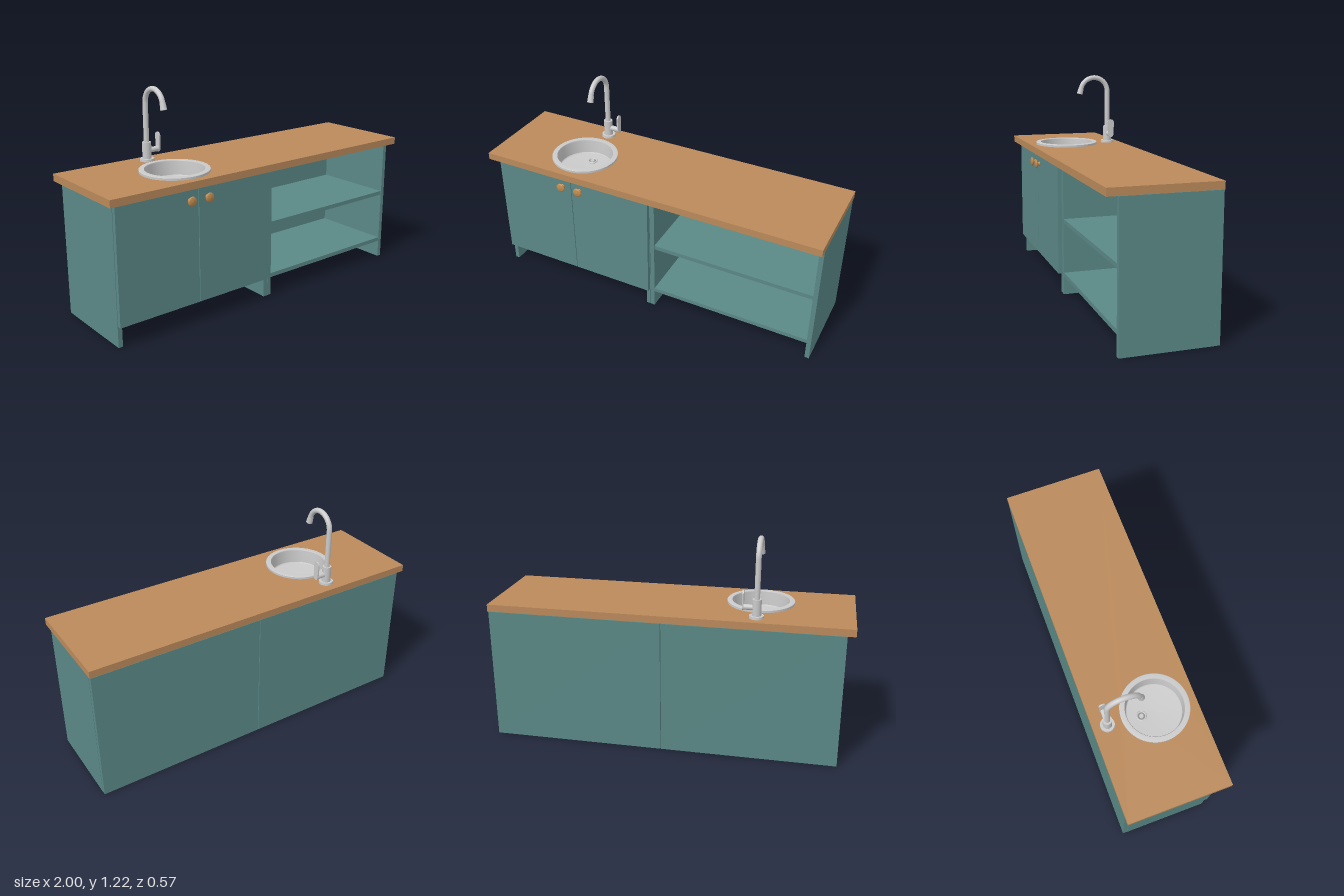
import * as THREE from 'three';

export function createModel() {
  const model = new THREE.Group();
  model.name = 'kitchenCounter';

  const material = (name, color, side = THREE.FrontSide) => {
    const m = new THREE.MeshStandardMaterial({ color, side });
    m.name = name;
    return m;
  };
  const teal = material('teal paint', 0x5a8886);
  const wood = material('worktop wood', 0xba895a);
  const knobWood = material('knob wood', 0xc08a4e);
  const metal = material('brushed steel', 0xcacaca, THREE.DoubleSide);
  const dark = material('drain shadow', 0x8a8a8a);

  const add = (parent, name, geometry, mat, x = 0, y = 0, z = 0) => {
    const mesh = new THREE.Mesh(geometry, mat);
    mesh.name = name;
    mesh.position.set(x, y, z);
    parent.add(mesh);
    return mesh;
  };
  // Box given by its minimum and maximum on each axis
  const panel = (parent, name, [x0, x1], [y0, y1], [z0, z1], mat = teal) =>
    add(parent, name, new THREE.BoxGeometry(x1 - x0, y1 - y0, z1 - z0), mat,
      (x0 + x1) / 2, (y0 + y1) / 2, (z0 + z1) / 2);
  const lathe = (points, segments = 48) =>
    new THREE.LatheGeometry(points.map(p => new THREE.Vector2(...p)), segments);

  const sinkX = -0.483, sinkZ = 0.06, topY = 0.8;
  const t = 0.025;

  // Two carcasses: sides, back and bottom
  const makeCabinet = (name, x0, x1) => {
    const g = new THREE.Group();
    g.name = name;
    panel(g, 'rightSide', [x0, x0 + t], [0.004, 0.758], [-0.26, 0.225]);
    panel(g, 'leftSide', [x1 - t, x1], [0.004, 0.758], [-0.26, 0.225]);
    panel(g, 'back', [x0 + 0.001, x1 - 0.001], [0.004, 0.758], [-0.286, -0.261]);
    panel(g, 'bottom', [x0 + t, x1 - t], [0.108, 0.132], [-0.26, 0.223]);
    model.add(g);
    return g;
  };
  const closed = makeCabinet('doorCabinet', -0.957, 0.019);
  const open = makeCabinet('shelfCabinet', 0.021, 0.996);
  panel(open, 'shelf', [0.046, 0.971], [0.421, 0.445], [-0.26, 0.223]);

  // Doors with turned knobs
  const knobGeometry = lathe([[0, 0], [0.014, 0], [0.014, 0.003], [0.009, 0.007], [0.009, 0.014],
    [0.022, 0.016], [0.026, 0.02], [0.025, 0.025], [0.018, 0.029], [0, 0.031]], 32);
  knobGeometry.rotateX(Math.PI / 2);
  for (const side of [-1, 1]) {
    const edges = [-0.469 + side * 0.002, -0.469 + side * 0.486].sort((a, b) => a - b);
    panel(closed, 'door', edges, [0.12, 0.755], [0.226, 0.249]);
    add(closed, 'knob', knobGeometry, knobWood, -0.469 + side * 0.055, 0.692, 0.249);
  }

  // Worktop with a round cut-out for the sink
  const outline = new THREE.Shape([[-1, -0.287], [1, -0.287], [1, 0.287], [-1, 0.287]]
    .map(p => new THREE.Vector2(...p)));
  outline.holes.push(new THREE.Path().absarc(sinkX, -sinkZ, 0.165, 0, Math.PI * 2, true));
  const topGeometry = new THREE.ExtrudeGeometry(outline,
    { depth: 0.04, bevelEnabled: false, curveSegments: 48 });
  topGeometry.rotateX(-Math.PI / 2);
  add(model, 'worktop', topGeometry, wood, 0, topY - 0.04, 0);

  // Sink: raised rim, wall, floor and drain
  const sink = new THREE.Group();
  sink.name = 'sink';
  sink.position.set(sinkX, topY, sinkZ);
  model.add(sink);
  const ring = (name, points) => add(sink, name, lathe(points, 64), metal);
  ring('rimEdge', [[0.188, 0], [0.188, 0.012]]);
  ring('rimTop', [[0.188, 0.012], [0.185, 0.015], [0.16, 0.015]]);
  ring('bowlWall', [[0.16, 0.015], [0.157, 0.01], [0.152, -0.065]]);
  ring('bowlFloor', [[0.152, -0.065], [0.147, -0.073], [0, -0.076]]);
  add(sink, 'drainRing', new THREE.TorusGeometry(0.024, 0.005, 10, 32).rotateX(Math.PI / 2),
    metal, 0, -0.073, -0.072);
  add(sink, 'drainWell', new THREE.CylinderGeometry(0.022, 0.022, 0.003, 32), dark, 0, -0.074, -0.072);
  add(sink, 'drainPlug', new THREE.CylinderGeometry(0.012, 0.014, 0.006, 24), metal, 0, -0.071, -0.072);

  // Tap: flange, body, swan neck, nozzle and lever
  const tap = new THREE.Group();
  tap.name = 'tap';
  tap.position.set(sinkX, topY, -0.206);
  model.add(tap);
  add(tap, 'flange', new THREE.CylinderGeometry(0.039, 0.04, 0.014, 40), metal, 0, 0.007, 0);
  add(tap, 'body', new THREE.CylinderGeometry(0.025, 0.025, 0.09, 36), metal, 0, 0.059, 0);

  const R = 0.086, bendY = 0.319, endAngle = 0.274;
  const neck = new THREE.CurvePath();
  neck.add(new THREE.LineCurve3(new THREE.Vector3(0, 0.1, 0), new THREE.Vector3(0, bendY, 0)));
  const arcPoints = [];
  for (let i = 0; i <= 16; i++) {
    const a = Math.PI + (endAngle - Math.PI) * i / 16;
    arcPoints.push(new THREE.Vector3(0, bendY + R * Math.sin(a), R + R * Math.cos(a)));
  }
  neck.add(new THREE.CatmullRomCurve3(arcPoints));
  add(tap, 'neck', new THREE.TubeGeometry(neck, 64, 0.0148, 20, false), metal);

  const nozzle = add(tap, 'nozzle', new THREE.CylinderGeometry(0.0155, 0.0185, 0.04, 28), metal,
    0, bendY + R * Math.sin(endAngle) - 0.018 * Math.cos(endAngle),
    R + R * Math.cos(endAngle) + 0.018 * Math.sin(endAngle));
  nozzle.rotation.x = -endAngle;

  add(tap, 'leverStem', new THREE.CylinderGeometry(0.015, 0.015, 0.055, 28).rotateZ(Math.PI / 2),
    metal, 0.045, 0.057, 0);
  const blade = new THREE.Shape();
  blade.moveTo(-0.016, 0.057);
  blade.absarc(0, 0.057, 0.017, Math.PI, Math.PI * 2, false);
  blade.lineTo(0.02, 0.13);
  blade.absarc(0, 0.13, 0.02, 0, Math.PI, false);
  const bladeGeometry = new THREE.ExtrudeGeometry(blade,
    { depth: 0.008, bevelEnabled: false, curveSegments: 16 });
  bladeGeometry.rotateY(Math.PI / 2);
  add(tap, 'lever', bladeGeometry, metal, 0.069, 0, 0);

  return model;
}
